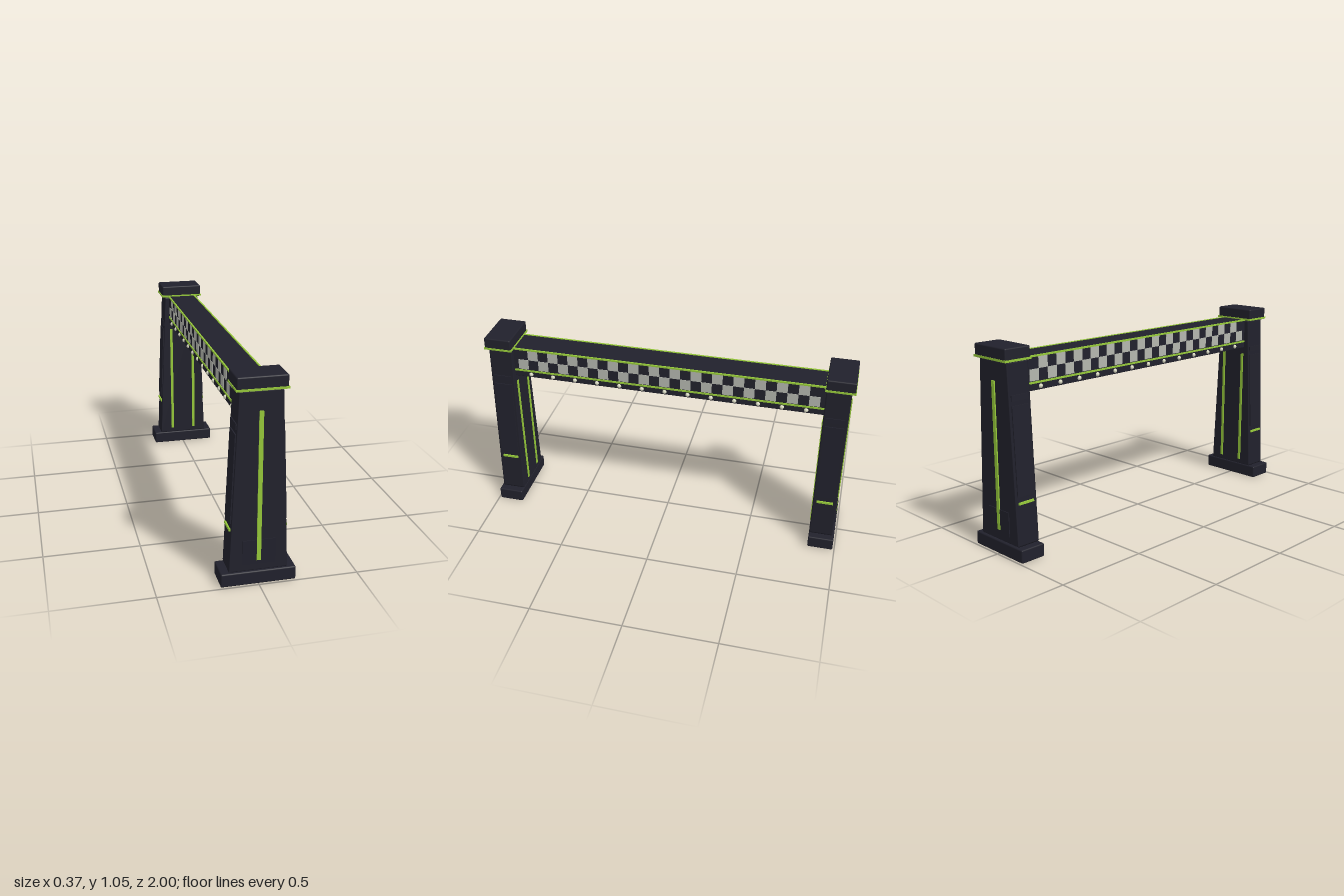
import * as THREE from 'three';
import { RoundedBoxGeometry } from 'three/addons/geometries/RoundedBoxGeometry.js';

const material = (name, color) => {
  const m = new THREE.MeshStandardMaterial({ color });
  m.name = name;
  return m;
};

export function createModel() {
  const dark = material('charcoal', 0x21212c);
  const green = material('lime', 0x96c93a);
  const pale = material('paleGrey', 0xb4b6ae);
  const lampMat = material('lampCream', 0xd8d8c2);

  const add = (parent, name, geometry, mat, x = 0, y = 0, z = 0) => {
    const mesh = new THREE.Mesh(geometry, mat);
    mesh.name = name;
    mesh.position.set(x, y, z);
    parent.add(mesh);
    return mesh;
  };
  const box = (w, h, d) => new THREE.BoxGeometry(w, h, d);
  const rounded = (w, h, d, r = 0.007) => new RoundedBoxGeometry(w, h, d, 2, r);

  // Half width of the tapered pillar at a given height
  const Y0 = 0.07, Y1 = 0.985, W0 = 0.145, W1 = 0.103;
  const halfWidth = (y) => W0 + (W1 - W0) * (y - Y0) / (Y1 - Y0);
  const lean = Math.atan((W0 - W1) / (Y1 - Y0));

  // One pillar, its outer face towards +z
  function makePillar() {
    const pillar = new THREE.Group();
    pillar.name = 'pillar';
    const zc = 0.915;

    const body = rounded(2, Y1 - Y0, 0.13);
    const p = body.attributes.position;
    for (let i = 0; i < p.count; i++) {
      p.setX(i, p.getX(i) * halfWidth(p.getY(i) + (Y0 + Y1) / 2));
    }
    add(pillar, 'pillarBody', body, dark, 0, (Y0 + Y1) / 2, zc);
    add(pillar, 'foot', rounded(0.374, 0.07, 0.14), dark, 0, 0.035, 0.92);
    add(pillar, 'cap', rounded(0.242, 0.07, 0.15), dark, 0, 1.02, 0.922);
    add(pillar, 'capBand', box(0.248, 0.011, 0.156), green, 0, 0.994, 0.922);

    // Outer face: access panel and centre stripe
    add(pillar, 'accessPanel', box(0.164, 0.127, 0.006), dark, 0, 0.1715, 0.981);
    add(pillar, 'outerStripe', box(0.021, 0.76, 0.009), green, 0, 0.507, 0.982);

    for (const s of [-1, 1]) {
      // Inner face stripes
      add(pillar, 'innerStripe', box(0.016, 0.68, 0.008), green, s * 0.07, 0.44, 0.849);
      // Raised plates following the slope of the sides
      const plate = (name, y, h, d, mat, t) => {
        const m = add(pillar, name, box(t, h, d), mat, s * halfWidth(y), y, zc);
        m.rotation.z = s * lean;
      };
      plate('sidePanel', 0.55, 0.45, 0.1, dark, 0.012);
      plate('sideTrim', 0.812, 0.028, 0.1, dark, 0.01);
      plate('sideMarker', 0.29, 0.012, 0.09, green, 0.016);
    }
    return pillar;
  }

  // One face of the beam, towards +x
  function makeBeamFace() {
    const face = new THREE.Group();
    face.name = 'beamFace';
    const columns = 29, cellW = 1.65 / columns, cellH = 0.059;
    const cell = box(0.004, cellH, cellW);
    for (let c = 0; c < columns; c++) {
      const row = c % 2; // 0 = lower, 1 = upper
      add(face, 'checker', cell, pale, 0.08, 0.897 + row * cellH, 0.825 - (c + 0.5) * cellW);
    }
    add(face, 'topTrim', box(0.008, 0.009, 1.7), green, 0.08, 0.99, 0);
    add(face, 'lowerTrim', box(0.008, 0.01, 1.7), green, 0.08, 0.859, 0);

    // Row of small lamps
    const lamp = new THREE.SphereGeometry(0.012, 12, 8);
    for (let i = -6; i <= 6; i++) {
      add(face, 'lamp', lamp, lampMat, 0.079, 0.837, i * 0.1263);
    }
    return face;
  }

  const model = new THREE.Group();
  model.name = 'startGate';
  add(model, 'beam', rounded(0.16, 0.172, 1.72, 0.004), dark, 0, 0.905, 0);
  for (const turn of [0, Math.PI]) {
    const pillar = makePillar();
    const face = makeBeamFace();
    pillar.rotation.y = face.rotation.y = turn;
    model.add(pillar, face);
  }
  return model;
}
